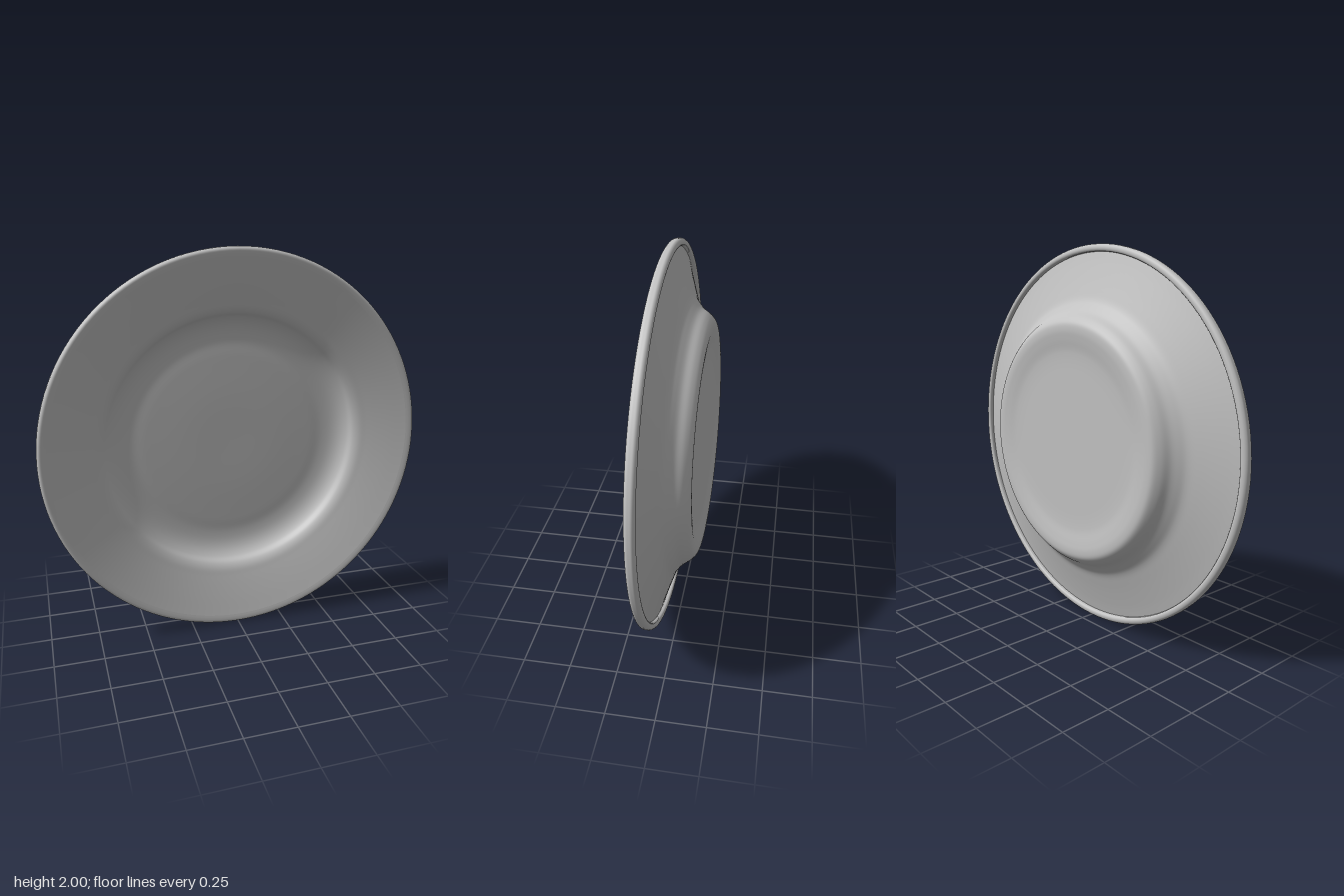
import * as THREE from 'three';

export function createModel() {
  const group = new THREE.Group();
  group.name = 'plate';
  const glaze = new THREE.MeshStandardMaterial({ color: 0xc2c2c2 });
  glaze.name = 'grey glaze';

  // Turns a smooth (radius, depth) profile about the z axis
  const turn = (name, profile, steps) => {
    const curve = new THREE.CatmullRomCurve3(
      profile.map(([r, z]) => new THREE.Vector3(r, z, 0)), false, 'centripetal');
    const points = curve.getPoints(steps).map(p => new THREE.Vector2(Math.max(p.x, 0), p.y));
    const geometry = new THREE.LatheGeometry(points, 128);
    geometry.rotateX(Math.PI / 2);
    const mesh = new THREE.Mesh(geometry, glaze);
    mesh.name = name;
    mesh.position.y = 1;
    group.add(mesh);
  };

  // Underside: shallow recess, foot, curved wall and sloping flange
  turn('underside', [
    [0, -0.092], [0.25, -0.092], [0.46, -0.094], [0.53, -0.105], [0.575, -0.11],
    [0.61, -0.105], [0.64, -0.08], [0.665, -0.045], [0.69, -0.022], [0.72, 0],
    [0.78, 0.023], [0.9, 0.062], [0.962, 0.08],
  ], 60);

  // Rolled bead around the edge
  turn('rimBead', [
    [0.962, 0.08], [0.964, 0.063], [0.975, 0.057], [0.99, 0.06], [0.999, 0.07],
    [1, 0.082], [0.998, 0.096], [0.988, 0.105], [0.972, 0.105], [0.955, 0.102],
  ], 36);

  // Eating surface: sloping flange, well wall and flat floor
  turn('upperSurface', [
    [0.955, 0.102], [0.85, 0.074], [0.75, 0.045], [0.705, 0.03], [0.68, 0.012],
    [0.66, -0.018], [0.63, -0.042], [0.59, -0.058], [0.53, -0.066], [0.45, -0.064],
    [0.25, -0.06], [0, -0.06],
  ], 60);

  return group;
}
